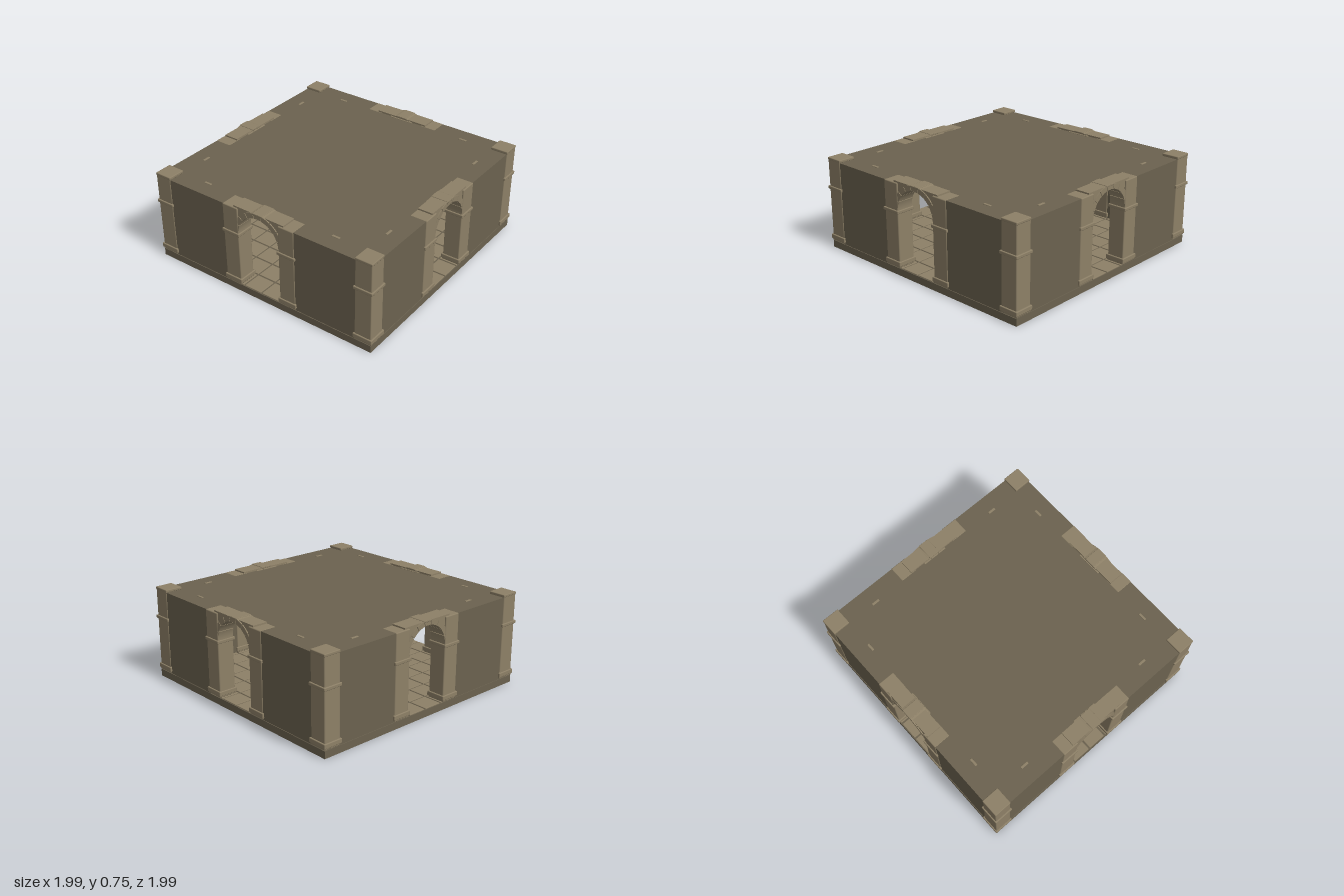
import * as THREE from 'three';
import { RoundedBoxGeometry } from 'three/addons/geometries/RoundedBoxGeometry.js';

const darkStone = new THREE.MeshStandardMaterial({ color: 0x6b624f });
darkStone.name = 'dark stone';
const lightStone = new THREE.MeshStandardMaterial({ color: 0x8d8067 });
lightStone.name = 'light stone';

const FLOOR = 0.063, OUT = 0.985, IN = 0.845, SPRING = 0.525;

// Box given by its limits, optionally with softened edges
function block(parent, name, mat, [x0, x1], [y0, y1], [z0, z1], bevel = 0) {
  const size = [x1 - x0, y1 - y0, z1 - z0];
  const geo = bevel ? new RoundedBoxGeometry(...size, 1, bevel) : new THREE.BoxGeometry(...size);
  const mesh = new THREE.Mesh(geo, mat);
  mesh.name = name;
  mesh.position.set((x0 + x1) / 2, (y0 + y1) / 2, (z0 + z1) / 2);
  parent.add(mesh);
  return mesh;
}

// Square pillar with a plinth and a middle band
function pillar(name, x0, x1, top, cap) {
  const g = new THREE.Group();
  g.name = name;
  const ring = (part, y, grow) => block(g, part, lightStone,
    [x0 - grow, x1 + grow], y, [IN - grow, OUT + grow], 0.006);
  block(g, 'shaft', lightStone, [x0, x1], [FLOOR, top], [IN, OUT], 0.008);
  ring('plinth', [FLOOR, 0.08], 0.004);
  ring('plinthMoulding', [0.075, 0.112], 0.01);
  ring('band', [0.492, 0.518], 0.01);
  if (cap) ring('cap', [0.728, 0.75], 0.002);
  return g;
}

function extrude(name, shape, z0, z1) {
  const geo = new THREE.ExtrudeGeometry(shape, { depth: z1 - z0, bevelEnabled: false, curveSegments: 16 });
  const mesh = new THREE.Mesh(geo, lightStone);
  mesh.name = name;
  mesh.position.z = z0;
  return mesh;
}

// Archway: spandrel block, voussoirs and keystones
function archway() {
  const g = new THREE.Group();
  g.name = 'archway';
  const s = new THREE.Shape();
  s.moveTo(0.19, SPRING);
  s.lineTo(0.23, SPRING);
  s.lineTo(0.23, 0.742);
  s.lineTo(-0.23, 0.742);
  s.lineTo(-0.23, SPRING);
  s.lineTo(-0.19, SPRING);
  s.absarc(0, SPRING, 0.19, Math.PI, 0, true);
  g.add(extrude('spandrel', s, 0.852, 0.974));

  const count = 9, step = Math.PI / count, gap = 0.012;
  for (let i = 0; i < count; i++) {
    const a = i * step + gap, b = (i + 1) * step - gap;
    const v = new THREE.Shape();
    v.absarc(0, SPRING, 0.225, a, b, false);
    v.absarc(0, SPRING, 0.185, b, a, true);
    g.add(extrude('voussoir', v, 0.848, 0.982));
  }
  block(g, 'keystoneTop', lightStone, [-0.045, 0.045], [0.735, 0.75], [0.846, 0.984], 0.004);
  // Three hanging blocks on the room side
  for (const x of [-0.07, 0, 0.07])
    block(g, 'innerKeystone', lightStone, [x - 0.034, x + 0.034], [0.662, 0.733], [0.838, 0.858], 0.004);
  return g;
}

// One side of the room, facing +z
function side() {
  const g = new THREE.Group();
  g.name = 'side';
  for (const s of [-1, 1]) {
    const span = (a, b) => (s > 0 ? [a, b] : [-b, -a]);
    block(g, 'wall', darkStone, span(0.315, 0.86), [FLOOR - 0.01, 0.728], [0.852, 0.98]);
    g.add(pillar('archPier', ...span(0.185, 0.325), 0.73, false));
    // Raised stones on the room side of the wall
    block(g, 'tallInnerStone', lightStone, span(0.555, 0.62), [0.6, 0.733], [0.836, 0.856], 0.004);
    for (const [x, y] of [[0.42, 0.2], [0.68, 0.34], [0.5, 0.5]])
      block(g, 'innerStone', lightStone, span(x, x + 0.1), [y, y + 0.06], [0.836, 0.856], 0.004);
  }
  g.add(pillar('cornerPillar', IN, OUT, 0.74, true));
  g.add(archway());
  return g;
}

export function createModel() {
  const model = new THREE.Group();
  model.name = 'arcadeRoom';

  block(model, 'base', darkStone, [-OUT, OUT], [0, 0.058], [-OUT, OUT]);
  block(model, 'roof', darkStone, [-0.856, 0.856], [0.664, 0.728], [-0.856, 0.856]);

  // Paving stones
  const n = 12, pitch = (2 * OUT) / n;
  const paving = new THREE.InstancedMesh(new THREE.BoxGeometry(1, 1, 1), lightStone, 1);
  paving.dispose();
  const tileGeo = new RoundedBoxGeometry(pitch - 0.012, 0.02, pitch - 0.012, 1, 0.004);
  const floor = new THREE.Group();
  floor.name = 'pavedFloor';
  for (let i = 0; i < n; i++) {
    for (let j = 0; j < n; j++) {
      const tile = new THREE.Mesh(tileGeo, lightStone);
      tile.name = 'pavingStone';
      tile.position.set((i + 0.5) * pitch - OUT, 0.055, (j + 0.5) * pitch - OUT);
      floor.add(tile);
    }
  }
  model.add(floor);

  // Four equal sides
  for (let i = 0; i < 4; i++) {
    const s = side();
    s.rotation.y = (i * Math.PI) / 2;
    model.add(s);
  }
  return model;
}
